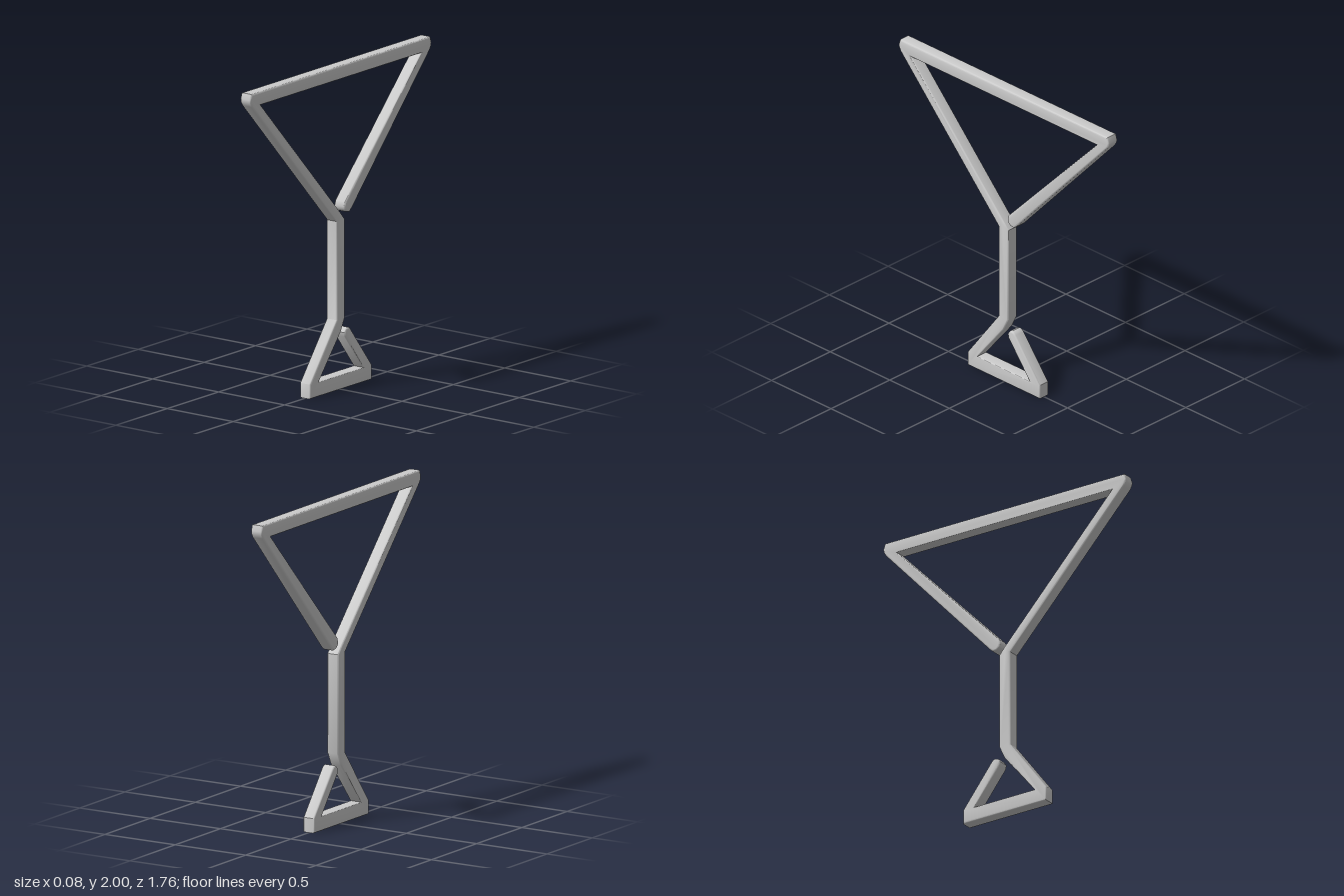
import * as THREE from 'three';
import { toCreasedNormals } from 'three/addons/utils/BufferGeometryUtils.js';

const WIDTH = 0.08;
const BEVEL = 0.01;

export function createModel() {
  const group = new THREE.Group();
  group.name = 'martiniGlassFrame';

  // One continuous bar bent into a bowl, stem and foot, open at both ends.
  // Side profile, clockwise around the bar: [-z, y]
  const outline = [
    // rounded free end of the bowl
    [0.04, 1.15], [0.032, 1.12], [0.038, 1.10], [0.058, 1.084], [0.085, 1.08], [0.108, 1.10],
    // outside of the bowl and rim
    [0.865, 1.92], [0.88, 1.945], [0.882, 1.965], [0.87, 2],
    [-0.87, 2], [-0.882, 1.965], [-0.88, 1.945], [-0.865, 1.92],
    // front of the stem, outside of the foot
    [-0.042, 1.045], [-0.042, 0.435], [-0.302, 0.09], [-0.302, 0], [0.302, 0], [0.302, 0.09],
    // rounded free end of the foot
    [0.097, 0.352], [0.085, 0.365], [0.067, 0.37], [0.047, 0.362], [0.034, 0.342], [0.04, 0.315],
    // inside of the foot, back of the stem, inside of the bowl
    [0.217, 0.09], [-0.217, 0.09], [0, 0.355], [0.038, 0.435], [0.038, 1.045], [0, 1.09],
    [-0.78, 1.917], [0.78, 1.917],
  ];
  const shape = new THREE.Shape(outline.map(([a, b]) => new THREE.Vector2(a, b)));

  const geometry = new THREE.ExtrudeGeometry(shape, {
    depth: WIDTH - 2 * BEVEL,
    bevelThickness: BEVEL,
    bevelSize: BEVEL,
    bevelOffset: -BEVEL,
    bevelSegments: 3,
  });
  geometry.translate(0, 0, BEVEL - WIDTH / 2);
  geometry.rotateY(Math.PI / 2);

  const bar = new THREE.Mesh(
    toCreasedNormals(geometry, 0.65),
    new THREE.MeshStandardMaterial({ color: 0xcccccc })
  );
  bar.name = 'bentBar';
  group.add(bar);
  return group;
}
